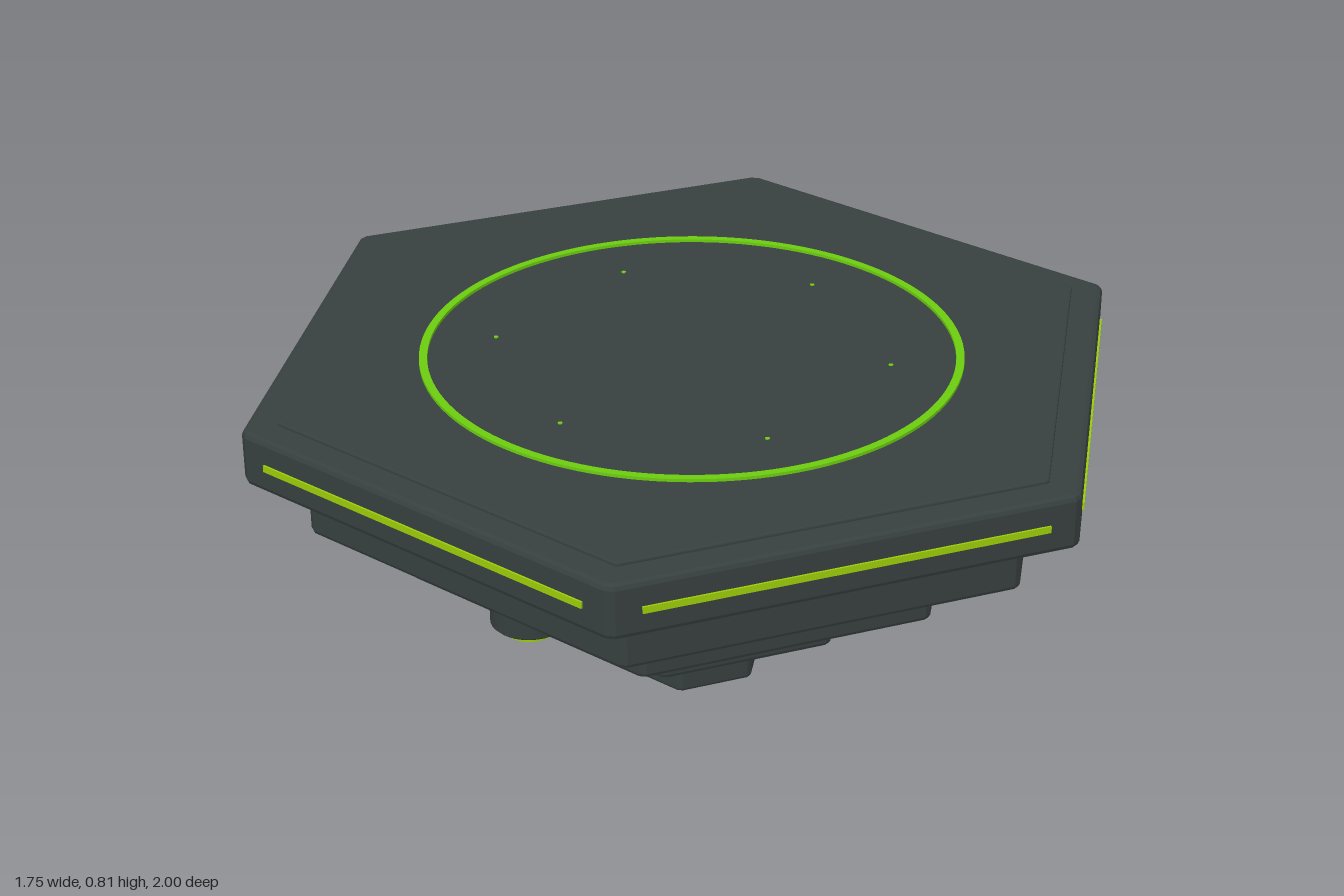
import * as THREE from 'three';

const mat = (name, color) => new THREE.MeshStandardMaterial({ name, color });

export function createModel() {
  const group = new THREE.Group();
  const hull = mat('dark grey hull', 0x373f3f);
  const glow = mat('yellow green glow', 0x9acb08);
  const ringGreen = mat('bright green ring', 0x6ccc10);

  const add = (name, geometry, material, x = 0, y = 0, z = 0) => {
    const mesh = new THREE.Mesh(geometry, material);
    mesh.name = name;
    mesh.position.set(x, y, z);
    group.add(mesh);
    return mesh;
  };

  // Hexagonal slab with corners on +-z, blunted corners and bevelled rims
  const hexSlab = (name, radius, y0, y1, bevel) => {
    const corner = (i) => {
      const a = Math.PI / 2 + (i * Math.PI) / 3;
      return new THREE.Vector2(Math.cos(a), Math.sin(a)).multiplyScalar(radius);
    };
    const points = [];
    for (let i = 0; i < 6; i++) {
      for (const side of [-1, 1]) {
        points.push(corner(i).lerp(corner(i + side), bevel / radius));
      }
    }
    const geometry = new THREE.ExtrudeGeometry(new THREE.Shape(points), {
      depth: y1 - y0 - 2 * bevel,
      bevelThickness: bevel,
      bevelSize: bevel,
      bevelOffset: -bevel,
      bevelSegments: 2,
    });
    geometry.translate(0, 0, bevel);
    geometry.rotateX(-Math.PI / 2);
    return add(name, geometry, hull, 0, y0, 0);
  };

  const disc = (name, r, y0, y1, material, x = 0, z = 0) =>
    add(name, new THREE.CylinderGeometry(r, r, y1 - y0, 32), material, x, (y0 + y1) / 2, z);

  // Stepped body, from the deck down to the tip
  hexSlab('deckPlate', 0.925, 0.78, 0.798, 0.004);
  hexSlab('deck', 1.004, 0.667, 0.79, 0.012);
  hexSlab('upperTier', 0.87, 0.52, 0.672, 0.01);
  hexSlab('middleTier', 0.652, 0.362, 0.525, 0.01);
  hexSlab('lowerTier', 0.392, 0.197, 0.367, 0.01);
  hexSlab('tipTier', 0.172, 0.025, 0.202, 0.008);
  disc('tipLight', 0.07, 0, 0.03, glow);

  // Landing ring and six marker dots on the deck
  const ring = new THREE.Shape().absarc(0, 0, 0.592, 0, Math.PI * 2);
  ring.holes.push(new THREE.Path().absarc(0, 0, 0.574, 0, Math.PI * 2));
  const ringGeometry = new THREE.ExtrudeGeometry(ring, {
    depth: 0.009, bevelEnabled: false, curveSegments: 64,
  });
  ringGeometry.rotateX(-Math.PI / 2);
  add('deckRing', ringGeometry, ringGreen, 0, 0.796, 0);

  for (let i = 0; i < 6; i++) {
    const a = (i * Math.PI) / 3;
    const c = Math.cos(a), s = Math.sin(a);
    disc('markerDot', 0.005, 0.796, 0.8, ringGreen, 0.435 * c, 0.435 * s);
    // Light strip along each deck side
    const strip = add('sideStrip', new THREE.BoxGeometry(0.009, 0.015, 0.87), glow,
      0.8695 * c, 0.727, 0.8695 * s);
    strip.rotation.y = -a;
  }

  // Three thrusters around the middle tier
  for (let i = 0; i < 3; i++) {
    const a = (i * Math.PI * 2) / 3;
    const x = 0.545 * Math.cos(a), z = 0.545 * Math.sin(a);
    const profile = [[0, 0.37], [0.079, 0.37], [0.085, 0.376], [0.085, 0.525]]
      .map(([r, y]) => new THREE.Vector2(r, y));
    add('thruster', new THREE.LatheGeometry(profile, 32), hull, x, 0, z);
    disc('thrusterLight', 0.056, 0.351, 0.375, glow, x, z);
  }
  return group;
}
